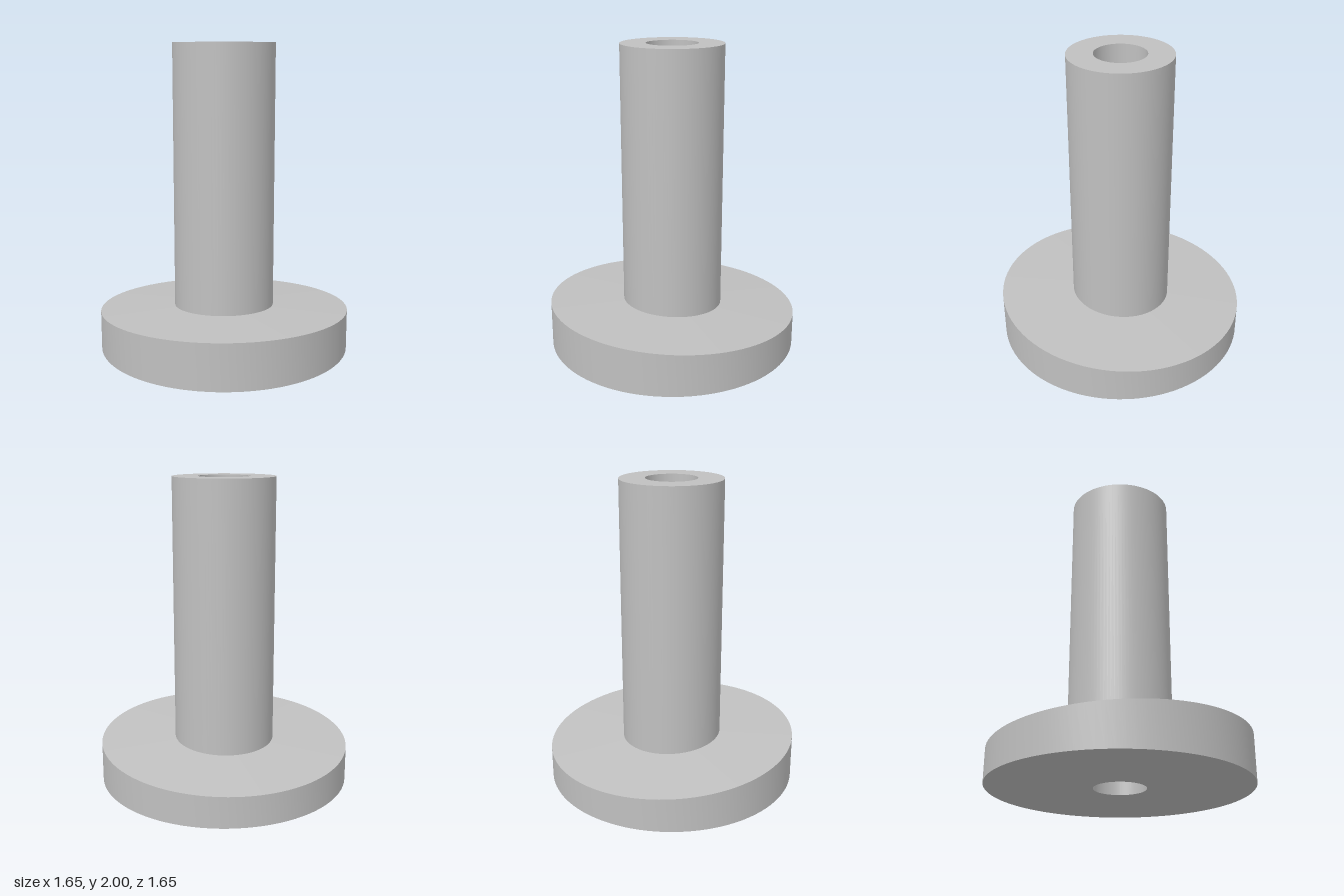
import * as THREE from 'three';
import { toCreasedNormals } from 'three/addons/utils/BufferGeometryUtils.js';

const RIM = 0.823, TUBE = 0.33, BORE = 0.165, HEIGHT = 2;
const RIM_Y = 0.25, JOINT_Y = 0.27; // mean heights of the sloping flange top
const SLOPE = 0.06; // rise of the flange top towards the front

// Revolve a profile, then tilt the vertices that belong to the sloping top
function turned(name, profile, material) {
  const geometry = new THREE.LatheGeometry(profile.map(([r, y]) => new THREE.Vector2(r, y)), 96);
  const p = geometry.attributes.position;
  for (let i = 0; i < p.count; i++) {
    const y = p.getY(i);
    if (y > 0.01 && y < 1) p.setY(i, y + SLOPE * p.getZ(i));
  }
  const mesh = new THREE.Mesh(toCreasedNormals(geometry, Math.PI / 6), material);
  mesh.name = name;
  return mesh;
}

export function createModel() {
  const grey = new THREE.MeshStandardMaterial({ color: 0xc0c0c0 });
  grey.name = 'plain grey';

  const model = new THREE.Group();
  model.name = 'flangedBushing';

  // Round flange: flat underside, upright rim, sloping top up to the tube
  model.add(turned('flange', [[BORE, 0], [RIM, 0], [RIM, RIM_Y], [TUBE, JOINT_Y]], grey));

  // Hollow tube: outer wall, end ring, and bore running right through
  model.add(turned('tube', [[TUBE, JOINT_Y], [TUBE, HEIGHT], [BORE, HEIGHT], [BORE, 0]], grey));

  return model;
}
